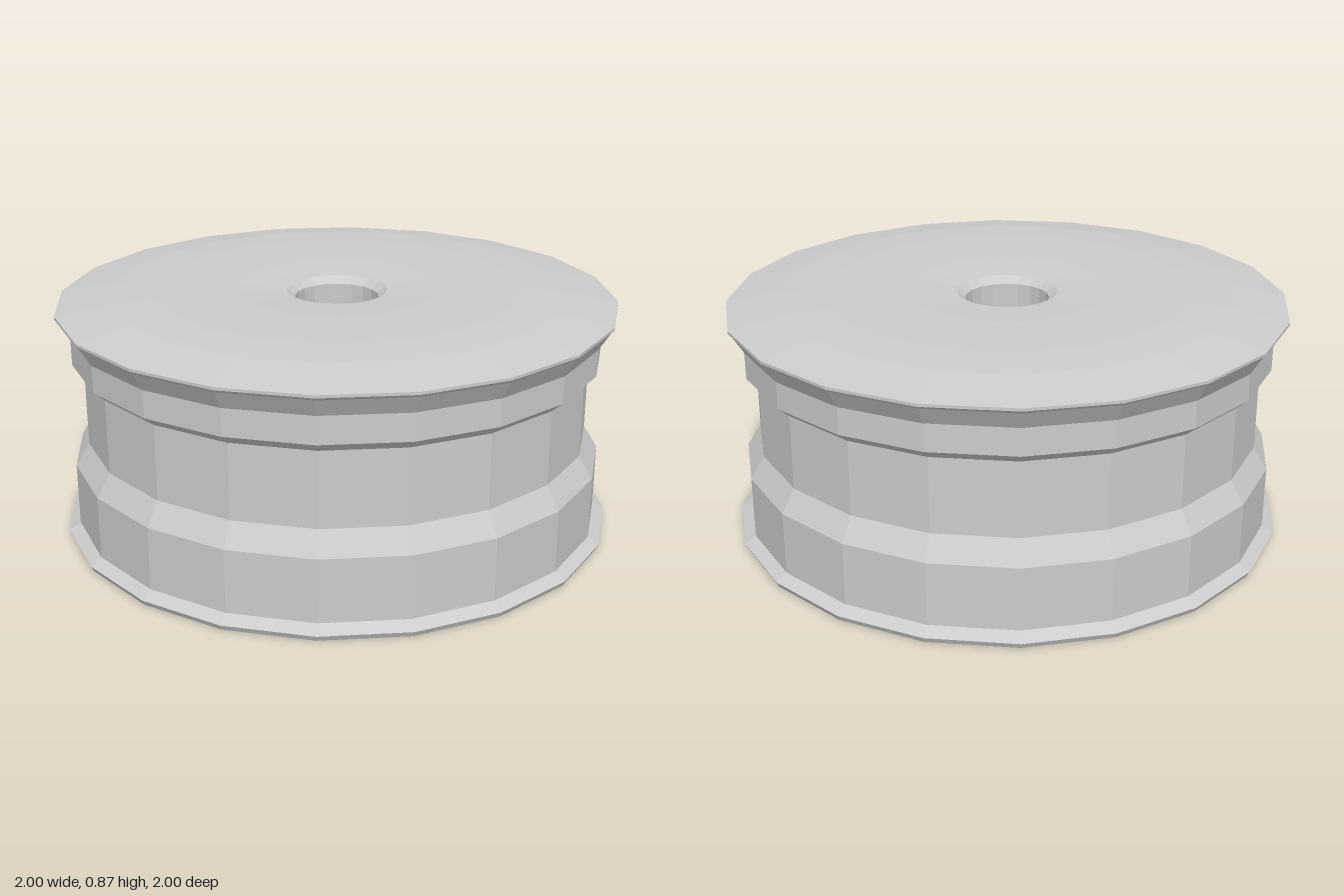
import * as THREE from 'three';

const SIDES = 20;

// Revolve a [radius, height] profile; outer walls run upwards, so faces point out
function revolve(name, profile) {
  const points = profile.map(([r, y]) => new THREE.Vector2(r, y));
  const geometry = new THREE.LatheGeometry(points, SIDES);
  const material = new THREE.MeshStandardMaterial({ color: 0xcccccc, flatShading: true });
  const mesh = new THREE.Mesh(geometry, material);
  mesh.name = name;
  return mesh;
}

export function createModel() {
  const wheel = new THREE.Group();
  wheel.name = 'wheelRim';

  // Hollow barrel with the open-side flange, from inner wall round to outer wall
  wheel.add(revolve('barrel', [
    [0.89, 0.62], [0.89, 0.35], [0.94, 0.27], [0.94, 0.03], [0.955, 0.005],
    [0.97, 0], [0.99, 0], [1, 0.02], [0.96, 0.045],
    [0.96, 0.27], [0.91, 0.35], [0.91, 0.615],
  ]));

  // Solid cover disc: flat underside, bead seat, flange, domed face and bore
  wheel.add(revolve('coverDisc', [
    [0.15, 0.615], [0.91, 0.615], [0.95, 0.65], [0.95, 0.745],
    [0.99, 0.81], [1, 0.82], [1, 0.83],
    [0.81, 0.86], [0.65, 0.87], [0.36, 0.867], [0.18, 0.855],
    [0.15, 0.83], [0.15, 0.615],
  ]));

  return wheel;
}
